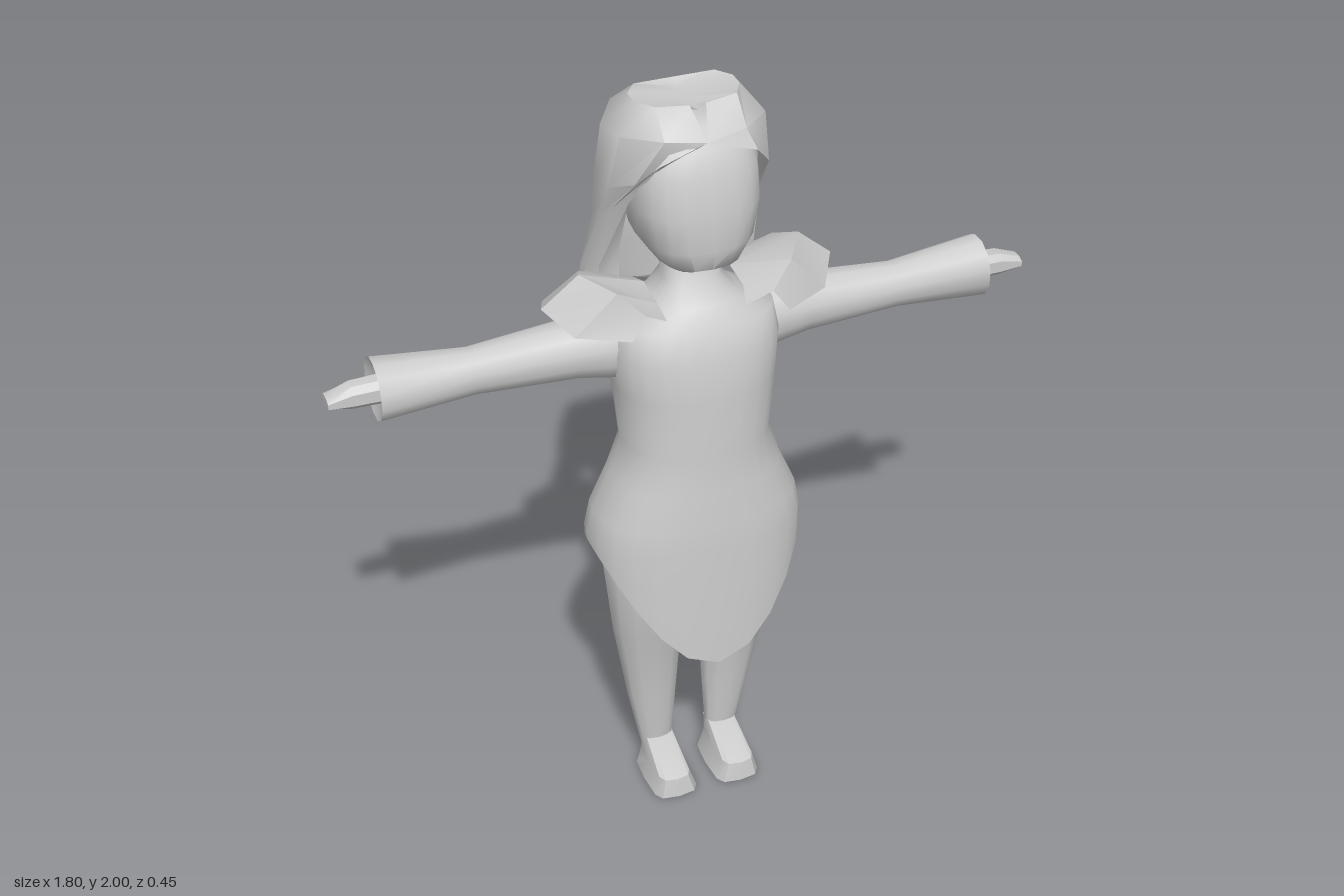
import * as THREE from 'three';
import { toCreasedNormals } from 'three/addons/utils/BufferGeometryUtils.js';

// Skin rows of points [x, y, z]; closed rows wrap around, caps fan to the row centre
function loft(rows, { closed = true, capStart = false, capEnd = false, crease = 0.8 } = {}) {
  const n = rows[0].length;
  const pos = rows.flat();
  const idx = [];
  for (let r = 0; r < rows.length - 1; r++) {
    for (let i = 0; i < (closed ? n : n - 1); i++) {
      const j = (i + 1) % n;
      const a = r * n + i, b = r * n + j, c = a + n, d = b + n;
      idx.push(a, c, b, b, c, d);
    }
  }
  const cap = (r, flip) => {
    const centre = [0, 1, 2].map((k) => rows[r].reduce((s, p) => s + p[k], 0) / n);
    const m = pos.push(centre) - 1;
    for (let i = 0; i < n; i++) {
      const a = r * n + i, b = r * n + (i + 1) % n;
      idx.push(m, flip ? b : a, flip ? a : b);
    }
  };
  if (capStart) cap(0, false);
  if (capEnd) cap(rows.length - 1, true);
  const g = new THREE.BufferGeometry();
  g.setAttribute('position', new THREE.Float32BufferAttribute(pos.flat(), 3));
  g.setIndex(idx);
  return toCreasedNormals(g, crease);
}

const spow = (v, p) => Math.sign(v) * Math.abs(v) ** p;

// Horizontal rounded section between x0..x1 and zb..zf, widest at zc
function section(y, x0, x1, zf, zb, p = 1, n = 16, zc = (zf + zb) / 2) {
  return Array.from({ length: n }, (_, i) => {
    const a = (i / n) * Math.PI * 2;
    const s = spow(Math.sin(a), p), c = spow(Math.cos(a), p);
    return [(x0 + x1) / 2 + (x1 - x0) / 2 * s, y, zc + c * (c > 0 ? zf - zc : zc - zb)];
  });
}

// Section across an arm, at distance x from the middle
function armSection(x, cy, ry, rz, p = 1, n = 12) {
  return Array.from({ length: n }, (_, i) => {
    const a = (i / n) * Math.PI * 2 + Math.PI / n;
    return [x, cy + ry * spow(Math.sin(a), p), -rz * spow(Math.cos(a), p)];
  });
}

export function createModel() {
  const group = new THREE.Group();
  const grey = new THREE.MeshStandardMaterial({ color: 0xcccccc, side: THREE.DoubleSide });
  grey.name = 'plainGrey';

  const add = (name, geometry) => {
    const mesh = new THREE.Mesh(geometry, grey);
    mesh.name = name;
    group.add(mesh);
  };
  // Build a part on the left, then mirrored on the right (row order reversed to keep winding)
  const addPair = (name, rows, options) => {
    add('left' + name, loft(rows, options));
    add('right' + name, loft(rows.map((r) => r.map(([x, y, z]) => [-x, y, z]).reverse()), options));
  };

  // Neck, torso and dress in one skin: y, half width, front z, back z
  const dress = [
    [1.62, 0.065, 0.07, -0.05], [1.53, 0.072, 0.08, -0.06], [1.485, 0.11, 0.13, -0.075],
    [1.44, 0.2, 0.165, -0.085], [1.36, 0.215, 0.188, -0.08], [1.26, 0.205, 0.2, -0.06],
    [1.1, 0.188, 0.2, -0.06], [1.0, 0.22, 0.208, -0.09], [0.9, 0.265, 0.218, -0.11],
    [0.83, 0.28, 0.222, -0.115],
  ].map(([y, w, zf, zb]) => section(y, -w, w, zf, zb, 0.85, 24, 0.03));
  // Pointed hem, long at front and back and high at the sides
  const hem = section(0, -0.28, 0.28, 0.23, -0.115, 0.85, 24, 0.03).map(([x, , z]) => {
    const t = (x / 0.28) ** 2;
    return [x * (1 - 0.06 * (1 - t)), z > 0.03 ? 0.48 + 0.33 * t : 0.56 + 0.25 * t, z];
  });
  add('dress', loft([...dress, hem], { crease: 1.0 }));

  // Head
  add('head', loft([
    [1.94, 0.08, 0.1, -0.1], [1.9, 0.13, 0.135, -0.13], [1.84, 0.152, 0.158, -0.14],
    [1.75, 0.156, 0.174, -0.14], [1.66, 0.138, 0.175, -0.12], [1.61, 0.105, 0.168, -0.09],
    [1.575, 0.07, 0.11, -0.06],
  ].map(([y, w, zf, zb]) => section(y, -w, w, zf, zb, 0.75, 20, 0.02)),
  { capStart: true, capEnd: true, crease: 0.9 }));

  // Hair: half rows from the front edge round to the middle of the back
  const hairHalf = [
    [[0, 1.975, 0.07], [0, 1.975, 0.04], [0, 1.975, 0], [0, 1.975, -0.03], [0, 1.975, -0.06], [0, 1.975, -0.08]],
    [[0.02, 1.99, 0.07], [0.1, 1.995, 0.06], [0.13, 1.99, 0], [0.13, 1.99, -0.04], [0.1, 1.99, -0.08], [0, 1.985, -0.09]],
    [[0, 1.92, 0.13], [0.1, 1.935, 0.12], [0.18, 1.925, 0.04], [0.19, 1.915, -0.06], [0.13, 1.92, -0.16], [0, 1.92, -0.175]],
    [[0.12, 1.885, 0.14], [0.165, 1.83, 0.1], [0.2, 1.79, 0.02], [0.205, 1.79, -0.07], [0.15, 1.79, -0.17], [0, 1.79, -0.187]],
    [[0.16, 1.75, 0.04], [0.19, 1.72, 0], [0.203, 1.68, -0.05], [0.203, 1.66, -0.1], [0.16, 1.65, -0.175], [0, 1.65, -0.195]],
    [[0.15, 1.57, -0.06], [0.2, 1.54, -0.06], [0.22, 1.52, -0.1], [0.22, 1.51, -0.14], [0.16, 1.5, -0.195], [0, 1.5, -0.21]],
    [[0.15, 1.48, -0.06], [0.2, 1.46, -0.075], [0.235, 1.45, -0.12], [0.225, 1.42, -0.16], [0.16, 1.4, -0.208], [0, 1.385, -0.22]],
  ];
  const hair = hairHalf.map((row) => [
    ...row, ...row.slice(0, -1).reverse().map(([x, y, z]) => [-x, y, z]),
  ]);
  add('hair', loft(hair, { closed: false }));

  // Shoulder capes: stations from front to back, each inner edge, ridge, outer edge
  addPair('ShoulderCape', [
    [[0.1, 1.47, 0.13], [0.16, 1.51, 0.155], [0.2, 1.455, 0.165]],
    [[0.11, 1.5, 0.09], [0.22, 1.565, 0.12], [0.32, 1.455, 0.1]],
    [[0.11, 1.51, 0], [0.28, 1.575, 0.02], [0.372, 1.495, 0.01]],
    [[0.11, 1.48, -0.08], [0.25, 1.53, -0.07], [0.34, 1.46, -0.08]],
    [[0, 1.43, -0.11], [0.15, 1.43, -0.15], [0.21, 1.4, -0.165]],
  ], { closed: false, crease: 0.4 });

  // Flared sleeves with a recessed cuff
  addPair('Sleeve', [
    [0.14, 1.355, 0.1, 0.085], [0.22, 1.36, 0.088, 0.08], [0.3, 1.365, 0.076, 0.074],
    [0.55, 1.36, 0.06, 0.057], [0.785, 1.365, 0.08, 0.078], [0.772, 1.365, 0.045, 0.045],
  ].map((s) => armSection(...s)), { capEnd: true });

  // Hands
  addPair('Hand', [
    [0.76, 1.363, 0.034, 0.034], [0.84, 1.362, 0.032, 0.032], [0.9, 1.357, 0.014, 0.03],
  ].map((s) => armSection(...s, 0.8, 8)), { capEnd: true, crease: 0.6 });

  // Legs: y, inner x, outer x, front z, back z
  addPair('Leg', [
    [0.92, 0.005, 0.22, 0.14, -0.07], [0.7, 0.01, 0.237, 0.135, -0.08],
    [0.5, 0.025, 0.215, 0.098, -0.05], [0.4, 0.03, 0.197, 0.075, -0.045],
    [0.25, 0.038, 0.172, 0.055, -0.035], [0.07, 0.05, 0.135, 0.036, -0.02],
  ].map((s) => section(...s, 0.9, 12)), { crease: 0.9 });

  // Feet with a blunt toe
  addPair('Foot', [
    [0.1, 0.05, 0.13, 0.04, -0.02], [0.055, 0.045, 0.137, 0.168, -0.022],
    [0, 0.025, 0.152, 0.175, -0.025],
  ].map((s) => section(...s, 0.5, 12)), { capStart: true, capEnd: true, crease: 0.5 });

  return group;
}
